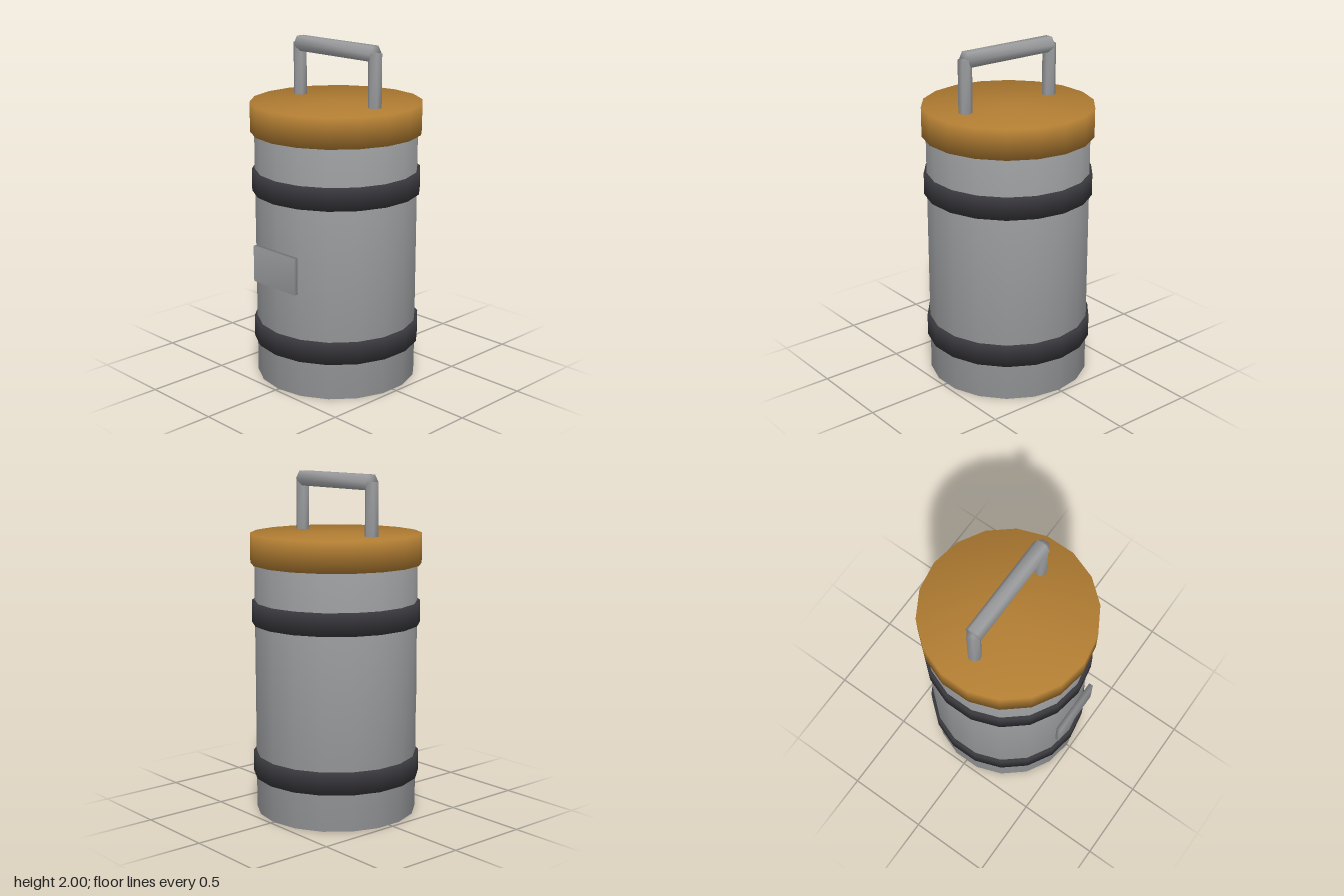
import * as THREE from 'three';
import { mergeVertices } from 'three/addons/utils/BufferGeometryUtils.js';

// Weld all corners so shading rolls softly over every edge
function soften(geometry) {
  geometry.deleteAttribute('normal');
  geometry.deleteAttribute('uv');
  const welded = mergeVertices(geometry, 1e-4);
  welded.clearGroups();
  welded.computeVertexNormals();
  return welded;
}

export function createModel() {
  const model = new THREE.Group();
  model.name = 'canister';

  const mat = (name, color) => {
    const m = new THREE.MeshStandardMaterial({ color });
    m.name = name;
    return m;
  };
  const steel = mat('grey steel', 0x9a9b9d);
  const ochre = mat('ochre lid', 0xb07c32);
  const rubber = mat('dark rubber', 0x37363b);

  const add = (name, geometry, material) => {
    const mesh = new THREE.Mesh(soften(geometry), material);
    mesh.name = name;
    model.add(mesh);
    return mesh;
  };
  // Upright prism between two heights
  const drum = (name, radius, y0, y1, sides, material) => {
    const mesh = add(name, new THREE.CylinderGeometry(radius, radius, y1 - y0, sides), material);
    mesh.position.y = (y0 + y1) / 2;
    return mesh;
  };

  // Barrel, bands and lid
  drum('body', 0.477, 0, 1.5, 18, steel);
  drum('lowerBand', 0.494, 0.22, 0.35, 18, rubber);
  drum('upperBand', 0.494, 1.13, 1.26, 18, rubber);
  drum('lid', 0.5, 1.48, 1.655, 18, ochre);

  // Carrying handle: two hexagonal posts and a grip
  for (const side of [-1, 1]) {
    const name = side > 0 ? 'leftHandlePost' : 'rightHandlePost';
    drum(name, 0.04, 1.64, 1.96, 6, steel).position.x = side * 0.305;
  }
  const grip = add('handleGrip', new THREE.CylinderGeometry(0.05, 0.05, 0.61, 6), steel);
  grip.rotation.z = Math.PI / 2;
  grip.position.y = 1.957;

  // Front plate
  const plate = add('frontPlate', new THREE.BoxGeometry(0.345, 0.215, 0.026), steel);
  plate.position.set(0, 0.742, 0.487);

  return model;
}
